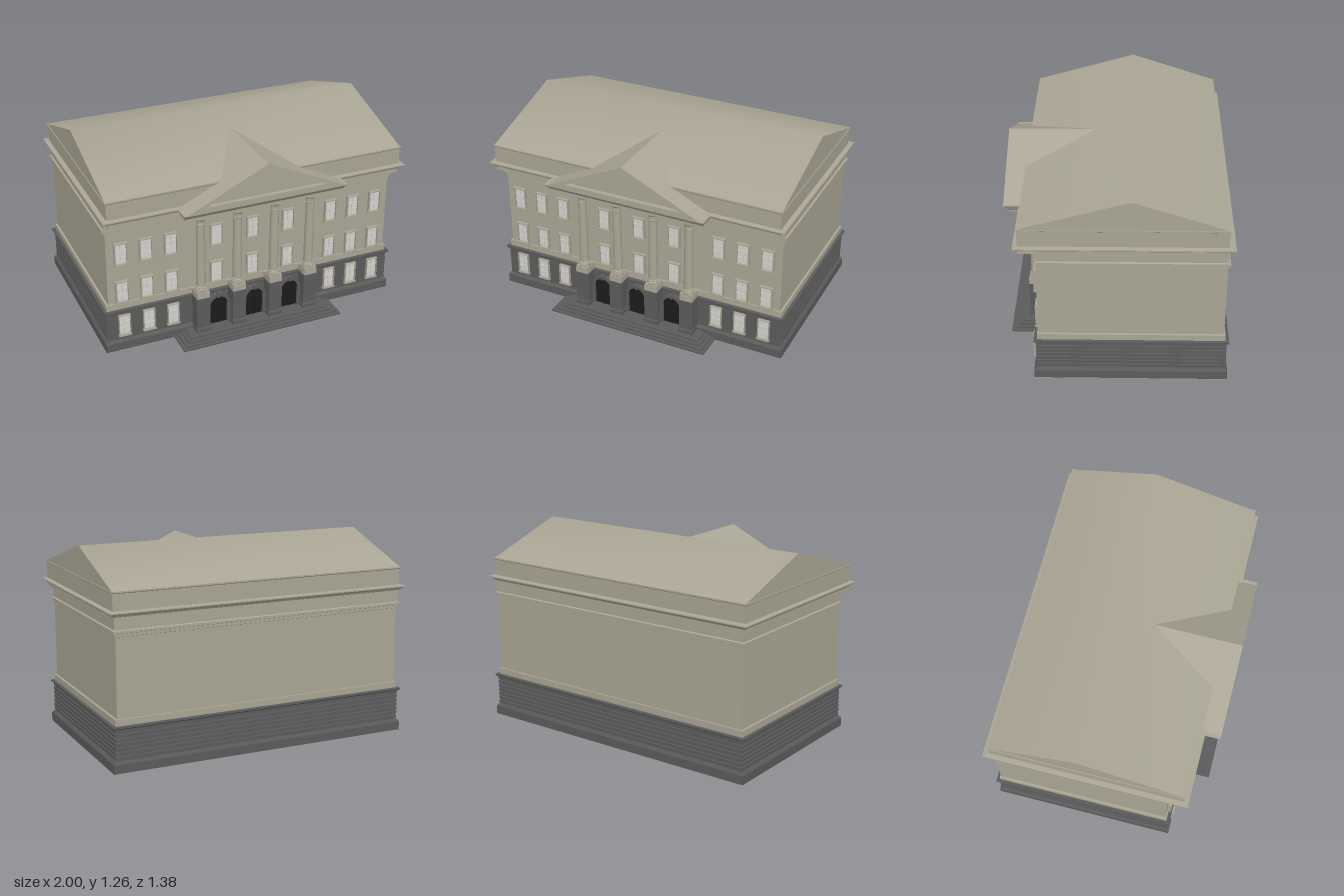
import * as THREE from 'three';
import { toCreasedNormals } from 'three/addons/utils/BufferGeometryUtils.js';

const mat = (name, color) => {
  const m = new THREE.MeshStandardMaterial({ color });
  m.name = name;
  return m;
};

// Stacks rectangular rings [y, halfWidth, zBack, zFront] into a flat-sided solid
function loft(rings) {
  const pos = [], idx = [];
  for (const [y, h, b, f] of rings) pos.push(-h, y, f, h, y, f, h, y, b, -h, y, b);
  for (let r = 0; r < rings.length - 1; r++) {
    for (let i = 0; i < 4; i++) {
      const j = (i + 1) % 4, a = r * 4 + i, b = r * 4 + j;
      idx.push(a, b, b + 4, a, b + 4, a + 4);
    }
  }
  const t = (rings.length - 1) * 4;
  idx.push(t, t + 1, t + 2, t, t + 2, t + 3, 0, 2, 1, 0, 3, 2);
  const g = new THREE.BufferGeometry();
  g.setAttribute('position', new THREE.Float32BufferAttribute(pos, 3));
  g.setIndex(idx);
  const flat = g.toNonIndexed();
  flat.computeVertexNormals();
  return flat;
}

// Rings for masonry courses with narrow grooves on the sides and back
function courses(y0, y1, n, h, b, f) {
  const rings = [], s = (y1 - y0) / n, d = 0.006;
  for (let i = 0; i < n; i++) {
    const y = y0 + i * s;
    rings.push([y, h - d, b + d, f], [y + 0.005, h - d, b + d, f],
      [y + 0.007, h, b, f], [y + s - 0.002, h, b, f]);
  }
  return rings;
}

// Round-headed opening outline, standing on y = 0
function archPath(path, w, spring) {
  path.moveTo(-w, 0);
  path.lineTo(w, 0);
  path.lineTo(w, spring);
  path.absarc(0, spring, w, 0, Math.PI, false);
  path.closePath();
  return path;
}

function polygon(path, pts) {
  path.setFromPoints(pts.map(([x, y]) => new THREE.Vector2(x, y)));
  path.closePath();
  return path;
}

const extrude = (shape, depth) =>
  new THREE.ExtrudeGeometry(shape, { depth, bevelEnabled: false, curveSegments: 12 });

export function createModel() {
  const stone = mat('stone', 0xaaa594);
  const dark = mat('dark stone', 0x5b5b5b);
  const glass = mat('pale glass', 0xd2d0cd);
  const black = mat('door black', 0x1b1b1b);
  const model = new THREE.Group();
  model.name = 'building';

  const add = (name, geo, material, x = 0, y = 0, z = 0, parent = model) => {
    const m = new THREE.Mesh(geo, material);
    m.name = name;
    m.position.set(x, y, z);
    parent.add(m);
    return m;
  };
  const box = (name, w, h, d, material, x, y, z, parent) =>
    add(name, new THREE.BoxGeometry(w, h, d), material, x, y, z, parent);

  // Pale underside of the building and of the steps
  box('floorPlate', 1.98, 0.003, 1.18, stone, 0, 0.0015, -0.09);
  box('stepFloorPlate', 1.09, 0.003, 0.18, stone, 0, 0.0015, 0.59);

  // Rusticated ground floor with plinth and capping
  add('groundFloor', loft([
    [0.003, 0.99, -0.68, 0.5], [0.058, 0.99, -0.68, 0.5], [0.075, 0.978, -0.67, 0.485],
    ...courses(0.075, 0.268, 7, 0.975, -0.668, 0.485),
    [0.27, 0.984, -0.676, 0.492], [0.275, 0.99, -0.681, 0.497], [0.285, 0.99, -0.681, 0.497],
  ]), dark);

  // Upper walls with base course and side mouldings
  add('upperWalls', loft([
    [0.285, 0.97, -0.658, 0.475], [0.325, 0.97, -0.658, 0.475], [0.326, 0.956, -0.65, 0.467],
    [0.812, 0.956, -0.65, 0.467], [0.815, 0.964, -0.657, 0.467], [0.832, 0.964, -0.657, 0.467],
    [0.835, 0.974, -0.664, 0.467], [0.85, 0.974, -0.664, 0.467], [0.854, 0.963, -0.652, 0.467],
    [0.91, 0.963, -0.652, 0.467],
  ]), stone);

  // Overhanging cornice and attic
  add('corniceAndAttic', loft([
    [0.905, 0.963, -0.652, 0.567], [0.928, 0.963, -0.652, 0.567], [0.931, 0.972, -0.66, 0.572],
    [0.938, 0.976, -0.664, 0.575], [0.946, 0.989, -0.679, 0.584], [0.95, 0.992, -0.682, 0.586],
    [0.953, 1, -0.69, 0.594], [0.96, 1, -0.69, 0.594], [0.963, 0.97, -0.649, 0.566],
    [1.064, 0.97, -0.649, 0.566], [1.069, 0.977, -0.656, 0.57], [1.078, 0.977, -0.656, 0.57],
  ]), stone);
  add('mainRoof', toCreasedNormals(
    loft([[1.077, 0.972, -0.654, 0.568], [1.265, 0.972, -0.09, -0.09]]), 0.8), stone);

  // Pediment: coved base, roof prism and raised triangular border
  add('pedimentCornice', toCreasedNormals(loft([
    [0.905, 0.515, 0.45, 0.655], [0.918, 0.515, 0.45, 0.655], [0.924, 0.522, 0.45, 0.663],
    [0.934, 0.526, 0.45, 0.671], [0.946, 0.531, 0.45, 0.681], [0.957, 0.538, 0.45, 0.69],
  ]), 0.8), stone);
  const gable = [[-0.525, 0.953], [0.525, 0.953], [0, 1.2]];
  add('pedimentRoof', extrude(polygon(new THREE.Shape(), gable), 0.54), stone, 0, 0, 0.12);
  const border = polygon(new THREE.Shape(), gable);
  border.holes.push(polygon(new THREE.Path(), [[-0.39, 0.99], [0, 1.174], [0.39, 0.99]]));
  add('pedimentBorder', extrude(border, 0.03), stone, 0, 0, 0.66);

  // Portico beam
  box('porticoBeam', 0.83, 0.055, 0.107, stone, 0, 0.8785, 0.5135);

  // Columns on pedestals and piers
  const profile = [[0, 0], [0.038, 0], [0.04, 0.008], [0.037, 0.016], [0.034, 0.018], [0.035, 0.024],
    [0.03, 0.03], [0.0295, 0.18], [0.0265, 0.455], [0.029, 0.458], [0.029, 0.465], [0.0265, 0.468],
    [0.0265, 0.488], [0.031, 0.494], [0.036, 0.502], [0.036, 0.506], [0, 0.506]];
  const columnGeo = toCreasedNormals(new THREE.LatheGeometry(
    profile.map(([x, y]) => new THREE.Vector2(x, y)), 28), 0.6);
  const pierGeo = loft([
    [0.003, 0.049, 0.46, 0.572], [0.066, 0.049, 0.46, 0.572], [0.075, 0.045, 0.46, 0.567],
    [0.27, 0.045, 0.46, 0.567], [0.272, 0.047, 0.46, 0.57], [0.286, 0.047, 0.46, 0.57],
  ]);
  for (const x of [-0.37, -0.125, 0.125, 0.37]) {
    const bay = new THREE.Group();
    bay.name = 'columnBay';
    bay.position.x = x;
    model.add(bay);
    add('pier', pierGeo, dark, 0, 0, 0, bay);
    box('pedestal', 0.086, 0.04, 0.105, stone, 0, 0.305, 0.515, bay);
    box('columnFoot', 0.08, 0.01, 0.08, stone, 0, 0.33, 0.525, bay);
    add('column', columnGeo, stone, 0, 0.335, 0.525, bay);
    box('columnCap', 0.074, 0.012, 0.076, stone, 0, 0.846, 0.525, bay);
  }

  // Arched doorways
  const surround = archPath(new THREE.Shape(), 0.077, 0.178);
  surround.holes.push(archPath(new THREE.Path(), 0.059, 0.178));
  const surroundGeo = extrude(surround, 0.035);
  const leafGeo = extrude(archPath(new THREE.Shape(), 0.06, 0.178), 0.006);
  for (const x of [-0.247, 0, 0.247]) {
    const door = new THREE.Group();
    door.name = 'doorway';
    door.position.set(x, 0.004, 0.486);
    model.add(door);
    add('doorSurround', surroundGeo, dark, 0, 0, 0, door);
    add('doorLeaves', leafGeo, black, 0, 0, 0.012, door);
    box('keystone', 0.018, 0.028, 0.04, dark, 0, 0.247, 0.02, door);
    box('transom', 0.118, 0.007, 0.008, black, 0, 0.178, 0.02, door);
    box('doorMeeting', 0.006, 0.14, 0.008, black, 0, 0.108, 0.02, door);
    for (const s of [-1, 1])
      for (const [y, h] of [[0.065, 0.035], [0.113, 0.04], [0.153, 0.024]])
        box('doorPanel', 0.034, h, 0.006, black, s * 0.029, y, 0.02, door);
  }

  // Windows: surround, sill, pane and glazing bars
  function windowAt(x, y, z, edge) {
    const w = 0.07, h = 0.135;
    const g = new THREE.Group();
    g.name = 'window';
    g.position.set(x, y, z);
    model.add(g);
    box('pane', w, h, 0.006, glass, 0, 0, 0.002, g);
    for (const s of [-1, 1])
      box('windowJamb', edge, h + edge, 0.02, stone, s * (w + edge) / 2, edge / 2, 0.01, g);
    box('windowHead', w, edge, 0.02, stone, 0, (h + edge) / 2, 0.01, g);
    box('windowSill', w + 2 * edge + 0.008, 0.01, 0.022, stone, 0, -h / 2 - 0.005, 0.011, g);
    box('glazingBar', 0.005, h, 0.006, glass, 0, 0, 0.006, g);
    for (const t of [-0.17, 0.17]) box('glazingBar', w, 0.005, 0.006, glass, 0, h * t, 0.006, g);
  }
  const outer = [0.545, 0.705, 0.865];
  for (const y of [0.408, 0.671]) {
    for (const x of [0, 0.245, -0.245]) windowAt(x, y, 0.467, 0.008);
    for (const x of outer) for (const s of [-1, 1]) windowAt(s * x, y, 0.467, 0.008);
  }
  for (const x of outer) for (const s of [-1, 1]) windowAt(s * x, 0.18, 0.485, 0.003);

  // Entrance steps
  [[0.545, 0.68], [0.522, 0.657], [0.498, 0.634], [0.475, 0.61]].forEach(([h, f], i) => {
    const y = 0.003 + i * 0.01;
    add('step', loft([[y, h, 0.4, f], [y + 0.01, h, 0.4, f]]), dark);
  });

  return model;
}
